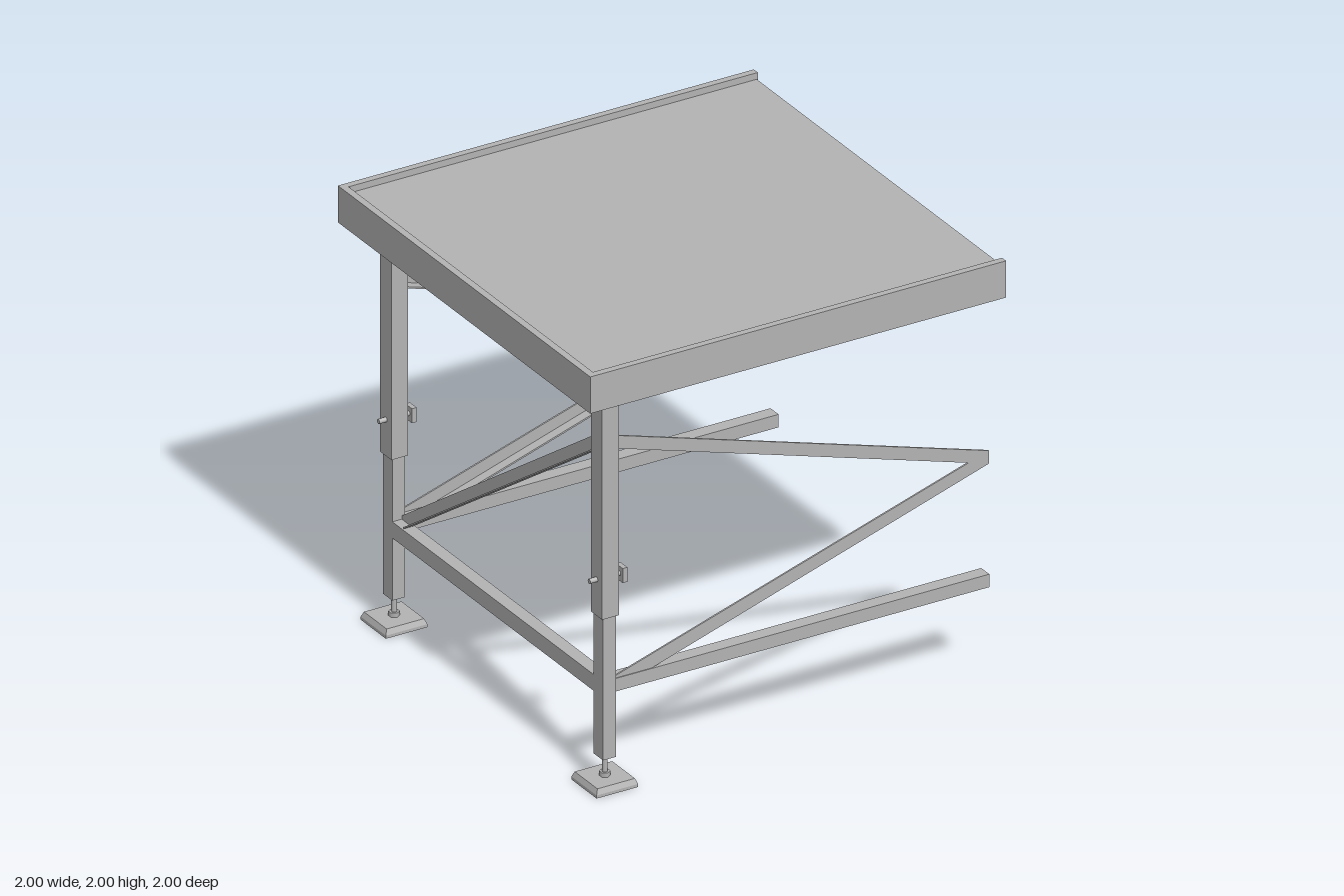
import * as THREE from 'three';

export function createModel() {
  const model = new THREE.Group();
  const steel = new THREE.MeshStandardMaterial({ color: 0xb4b4b4, side: THREE.DoubleSide });
  steel.name = 'grey steel';

  const add = (geo, name, parent) => {
    const mesh = new THREE.Mesh(geo, steel);
    mesh.name = name;
    parent.add(mesh);
    return mesh;
  };
  // Box given by its two extreme corners
  const box = (name, parent, x0, x1, y0, y1, z0, z1) => {
    const m = add(new THREE.BoxGeometry(Math.abs(x1 - x0), Math.abs(y1 - y0), Math.abs(z1 - z0)), name, parent);
    m.position.set((x0 + x1) / 2, (y0 + y1) / 2, (z0 + z1) / 2);
    return m;
  };
  const polygon = (pts) => new THREE.Shape(pts.map(([a, b]) => new THREE.Vector2(a, b)));
  const extrude = (shape, depth) => new THREE.ExtrudeGeometry(shape, { depth, bevelEnabled: false });

  // Rail section: thin web, boxed top lip, wide bottom flange; u = 0 is the outer face
  const railSection = () => polygon([
    [0, 1.83], [0.11, 1.83], [0.11, 1.837], [0.008, 1.837], [0.008, 1.965],
    [0.032, 1.965], [0.032, 2], [0, 2],
  ]);

  // Table top
  const top = new THREE.Group();
  top.name = 'tableTop';
  model.add(top);
  box('deck', top, -0.97, 0.995, 1.958, 1.97, -0.97, 0.97);
  for (const s of [1, -1]) {
    const g = extrude(railSection(), 2);
    g.rotateY(s * Math.PI / 2);
    const rail = add(g, s > 0 ? 'frontRail' : 'backRail', top);
    rail.position.set(-s, 0, s);
  }
  const endRail = add(extrude(railSection(), 1.984), 'endRail', top);
  endRail.position.set(-1, 0, -0.992);

  // Cross beams under the deck
  for (const x of [-0.83, 0, 0.95]) {
    box('crossBeam', top, x - 0.035, x + 0.035, 1.89, 1.96, -0.895, 0.895);
  }

  // Hollow square tube along x
  const tube = (x0, x1, y0, y1, z0, z1) => {
    const t = 0.008;
    const s = polygon([[z0, y0], [z1, y0], [z1, y1], [z0, y1]]);
    s.holes.push(new THREE.Path([
      new THREE.Vector2(z0 + t, y0 + t), new THREE.Vector2(z0 + t, y1 - t),
      new THREE.Vector2(z1 - t, y1 - t), new THREE.Vector2(z1 - t, y0 + t),
    ]));
    const g = extrude(s, x1 - x0);
    // Section x becomes -z, so the mirrored section is centred again below
    g.rotateY(Math.PI / 2);
    g.translate(x0, 0, z0 + z1);
    return g;
  };

  // Sloping flange along the lower edge of a brace
  const flangeStrip = (a, b, depth) => extrude(polygon([a, b, [b[0], b[1] + 0.008], [a[0], a[1] + 0.008]]), depth);

  for (const s of [1, -1]) {
    const zc = 0.835 * s;
    const leg = new THREE.Group();
    leg.name = s > 0 ? 'frontLeg' : 'backLeg';
    leg.position.set(-0.83, 0, zc);
    model.add(leg);

    // Foot: square plate with sloping rim, threaded stem and nut
    const pad = new THREE.CylinderGeometry(0.09 * Math.SQRT2, 0.1 * Math.SQRT2, 0.024, 4).toNonIndexed();
    pad.rotateY(Math.PI / 4);
    pad.computeVertexNormals();
    add(pad, 'footPad', leg).position.y = 0.026;
    box('footBase', leg, -0.1, 0.1, 0, 0.014, -0.1, 0.1);
    add(new THREE.CylinderGeometry(0.012, 0.012, 0.11, 16), 'footStem', leg).position.y = 0.085;
    add(new THREE.CylinderGeometry(0.024, 0.024, 0.02, 6), 'footNut', leg).position.y = 0.048;

    // Telescoping post
    box('lowerPost', leg, -0.031, 0.031, 0.13, 0.79, -0.037, 0.037);
    box('upperSleeve', leg, -0.04, 0.04, 0.787, 1.81, -0.045, 0.045);

    // Head plates and locking tab
    box('headPlate', leg, -0.052, 0.048, 1.805, 1.823, -0.058, 0.058);
    box('mountPlate', leg, -0.06, 0.06, 1.823, 1.84, -0.07, 0.07);
    box('headBlock', leg, -0.05, 0.05, 1.84, 1.89, -0.058, 0.058);
    box('headTab', leg, -0.078, -0.05, 1.795, 1.83, 0.035, 0.105);

    // Height locking screw
    const pin = add(new THREE.CylinderGeometry(0.011, 0.011, 0.155, 16), 'lockPin', leg);
    pin.rotation.z = Math.PI / 2;
    pin.position.set(0.002, 0.955, 0);
    box('lockHandle', leg, 0.07, 0.092, 0.92, 0.987, -0.027, 0.027);

    // Long bar and V braces running from the leg
    const side = new THREE.Group();
    side.name = s > 0 ? 'frontBracing' : 'backBracing';
    model.add(side);
    add(tube(-0.8, 1, 0.43, 0.49, zc - 0.032, zc + 0.032), 'longBar', side);
    const plateZ = zc + s * 0.024 - 0.004;
    const flangeZ = s > 0 ? zc - 0.025 : zc - 0.02;
    const upper = [[-0.8, 1.555], [1, 1], [1, 1.06], [-0.8, 1.615]];
    const lower = [[-0.8, 0.49], [-0.62, 0.49], [1, 1], [1, 1.06], [-0.8, 0.5]];
    add(extrude(polygon(upper), 0.008), 'upperBrace', side).position.z = plateZ;
    add(extrude(polygon(lower), 0.008), 'lowerBrace', side).position.z = plateZ;
    add(flangeStrip([-0.8, 1.555], [1, 1], 0.045), 'upperBraceFlange', side).position.z = flangeZ;
    add(flangeStrip([-0.62, 0.49], [1, 1], 0.045), 'lowerBraceFlange', side).position.z = flangeZ;
  }

  // Cross bar and diagonal between the two legs
  const end = new THREE.Group();
  end.name = 'endBracing';
  model.add(end);
  box('crossBar', end, -0.861, -0.8, 0.42, 0.495, -0.8, 0.8);
  // Drawn with -z as the section's first axis, then turned to face +x
  const diagonal = extrude(polygon([[-0.79, 1.53], [0.72, 0.495], [0.8, 0.495], [0.8, 0.51], [-0.79, 1.605]]), 0.008);
  diagonal.rotateY(Math.PI / 2);
  add(diagonal, 'diagonalBrace', end).position.x = -0.815;
  const diagonalFlange = flangeStrip([-0.79, 1.53], [0.72, 0.495], 0.045);
  diagonalFlange.rotateY(Math.PI / 2);
  add(diagonalFlange, 'diagonalFlange', end).position.x = -0.855;

  return model;
}
